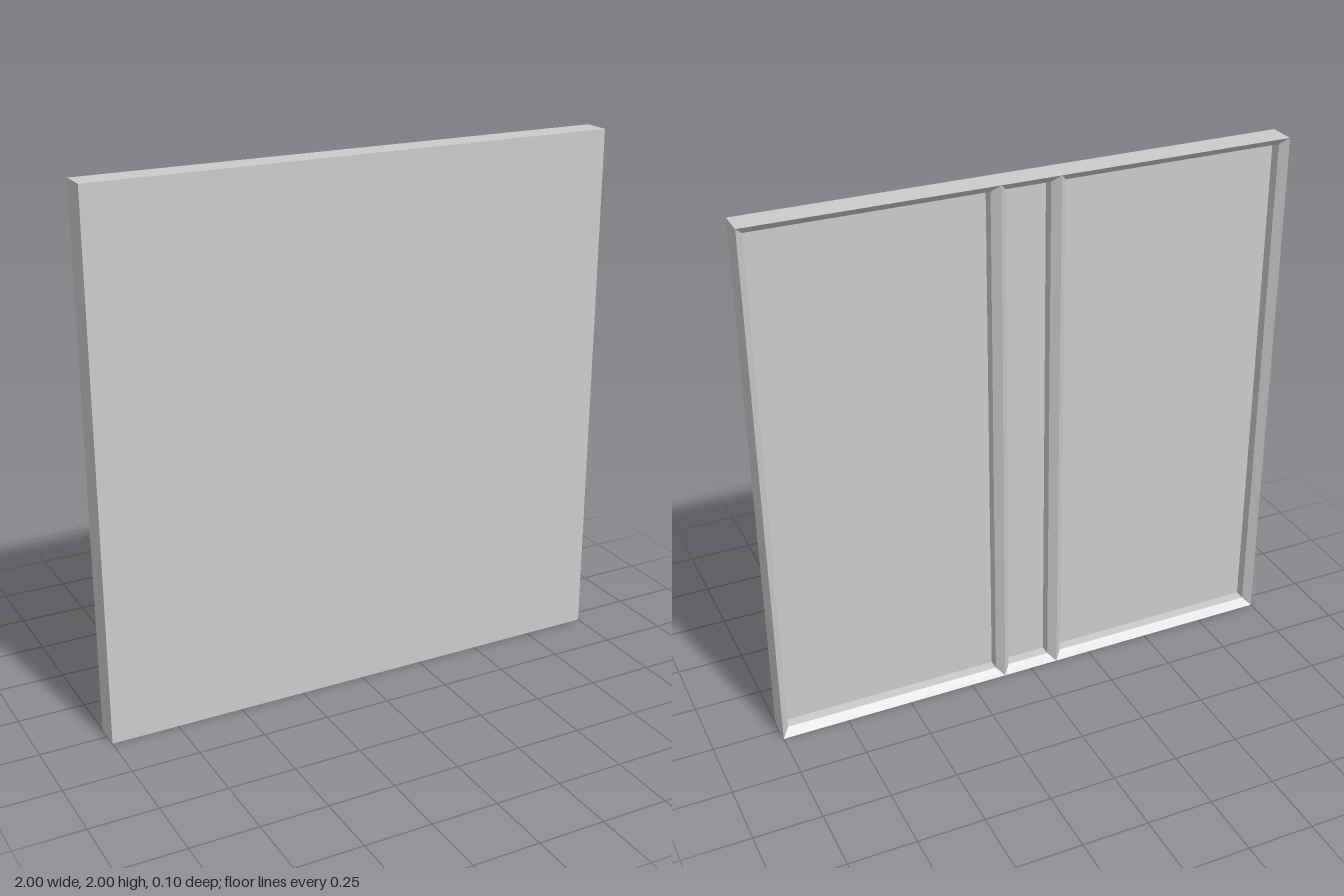
import * as THREE from 'three';

const HALF = 1;         // half of the panel's width and height
const FRONT = 0.052;    // front face, the ridges lie at -FRONT
const SHEET = 0.037;    // thickness of the flat sheet
const BEVEL = 0.027;    // width and depth of the 45 degree bevels

export function createModel() {
  const group = new THREE.Group();
  group.name = 'wallPanel';
  const material = new THREE.MeshStandardMaterial({ color: 0xcccccc, flatShading: true });

  const add = (name, geometry) => {
    const mesh = new THREE.Mesh(geometry, material);
    mesh.name = name;
    group.add(mesh);
    return mesh;
  };

  // Upright bar from a cross-section of [x, depth towards the back], centred on the origin
  const bar = (points) => {
    const shape = new THREE.Shape(points.map(([x, d]) => new THREE.Vector2(x, d)));
    const geometry = new THREE.ExtrudeGeometry(shape, { depth: 2 * HALF, bevelEnabled: false });
    return geometry.rotateX(-Math.PI / 2).translate(0, -HALF, 0);
  };

  // Flat sheet
  const sheet = new THREE.BoxGeometry(2 * HALF, 2 * HALF, SHEET);
  add('sheet', sheet.translate(0, HALF, FRONT - SHEET / 2));

  const base = SHEET - FRONT;
  const shoulder = FRONT - BEVEL;

  // Border bars, bevelled inwards from a sharp outer edge; the bevels mitre at the corners
  const inner = HALF - BEVEL;
  const border = [[inner, base], [HALF, base], [HALF, FRONT], [inner, shoulder]];
  ['leftBorder', 'topBorder', 'rightBorder', 'bottomBorder'].forEach((name, i) => {
    add(name, bar(border).rotateZ(i * Math.PI / 2)).position.y = HALF;
  });

  // Two pointed ribs beside the middle
  const rib = [[-BEVEL, base], [BEVEL, base], [BEVEL, shoulder], [0, FRONT], [-BEVEL, shoulder]];
  for (const side of [1, -1]) {
    add(side > 0 ? 'leftRib' : 'rightRib', bar(rib)).position.set(side * 0.11, HALF, 0);
  }
  return group;
}
